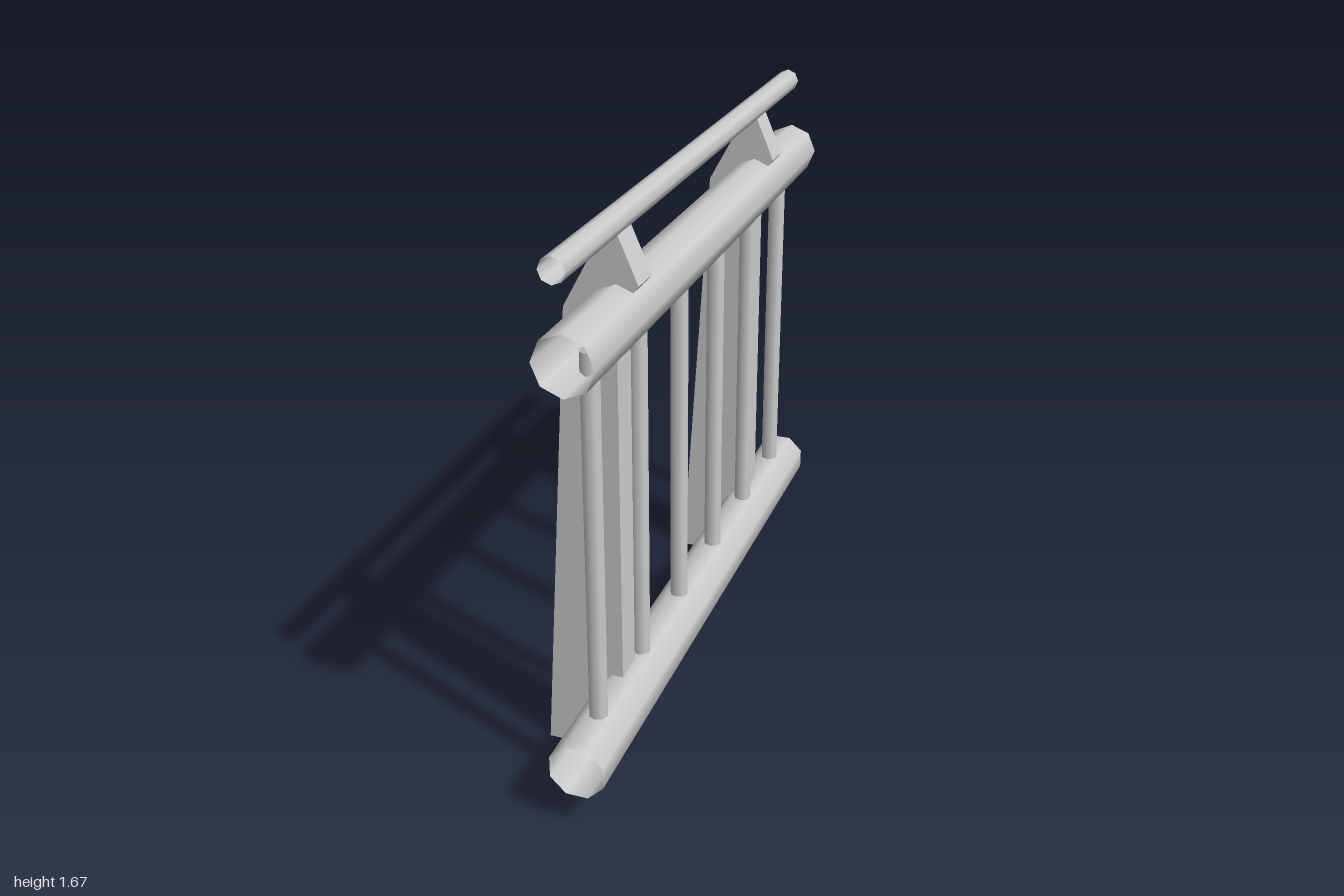
import * as THREE from 'three';

const material = new THREE.MeshStandardMaterial({ color: 0xcccccc, side: THREE.DoubleSide });

// Open eight-sided pipe, running along z or standing along y
function pipe(name, radius, length, x, y, z, alongZ, turn = 0) {
  const geometry = new THREE.CylinderGeometry(radius, radius, length, 8, 1, true);
  geometry.rotateY(turn);
  if (alongZ) geometry.rotateX(Math.PI / 2);
  const mesh = new THREE.Mesh(geometry, material);
  mesh.name = name;
  mesh.position.set(x, y, z);
  return mesh;
}

// Tapered post with a pointed head, left open underneath
function postGeometry(depth) {
  const profile = [
    [-0.163, 0], [0.075, 0], [0.075, 1.4], [0.137, 1.48],
    [0.077, 1.62], [0.043, 1.62], [-0.075, 1.4],
  ].map(([x, y]) => new THREE.Vector2(x, y));
  const solid = new THREE.ExtrudeGeometry(new THREE.Shape(profile), { depth, bevelEnabled: false });
  solid.translate(0, 0, -depth / 2);
  const p = solid.attributes.position;
  const kept = [];
  for (let i = 0; i < p.count; i += 3) {
    if (Math.max(p.getY(i), p.getY(i + 1), p.getY(i + 2)) < 0.001) continue;
    for (let k = i; k < i + 3; k++) kept.push(p.getX(k), p.getY(k), p.getZ(k));
  }
  const geometry = new THREE.BufferGeometry();
  geometry.setAttribute('position', new THREE.Float32BufferAttribute(kept, 3));
  geometry.computeVertexNormals();
  return geometry;
}

export function createModel() {
  const railing = new THREE.Group();
  railing.name = 'railing';

  // Two posts
  const post = postGeometry(0.096);
  for (const side of [1, -1]) {
    const mesh = new THREE.Mesh(post, material);
    mesh.name = side > 0 ? 'frontPost' : 'backPost';
    mesh.position.z = side * 0.602;
    railing.add(mesh);
  }

  // Horizontal rails
  railing.add(pipe('lowerRail', 0.085, 2, 0.075, 0.19, 0, true, Math.PI / 8));
  railing.add(pipe('upperRail', 0.085, 2, 0.075, 1.395, 0, true));
  railing.add(pipe('handrail', 0.036, 2, 0.055, 1.635, 0, true));

  // Evenly spaced balusters between the rails
  for (let i = 0; i < 6; i++) {
    railing.add(pipe('baluster' + (i + 1), 0.028, 1.14, 0.075, 0.802, (i - 2.5) / 3, false));
  }

  return railing;
}
